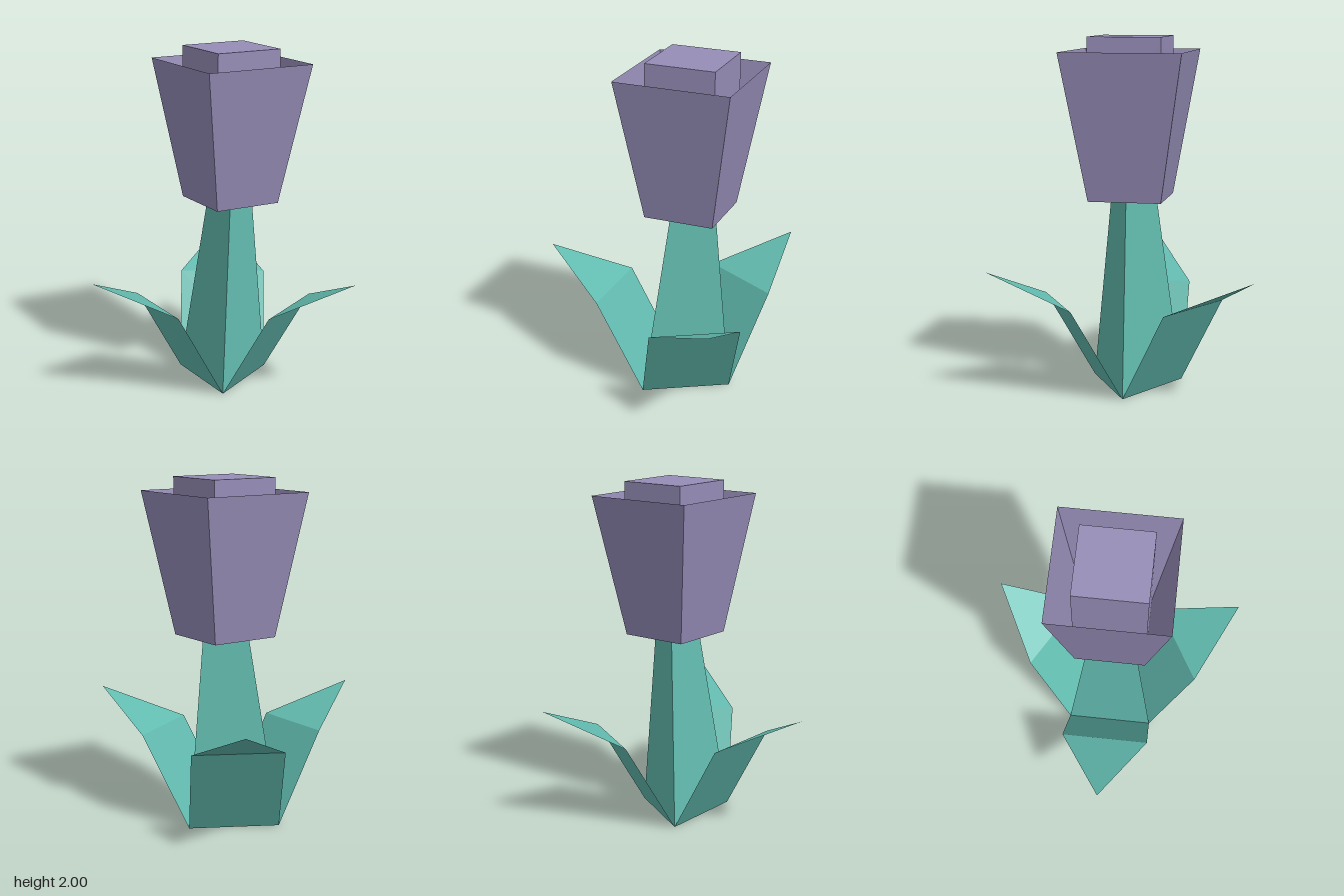
import * as THREE from 'three';

const green = new THREE.MeshStandardMaterial({ color: 0x62bbaf, flatShading: true, side: THREE.DoubleSide });
const purple = new THREE.MeshStandardMaterial({ color: 0x968db7, flatShading: true, side: THREE.DoubleSide });

const BASE_X = 0.2;    // centre of the stem on the ground
const BUD_X = 0.243;   // centre of the flower
const BUD_Y = 1.1;     // underside of the flower

function part(name, geometry, material) {
  const mesh = new THREE.Mesh(geometry, material);
  mesh.name = name;
  return mesh;
}

// Three-sided tapering stem, leaning slightly towards the flower
function createStem() {
  const geo = new THREE.CylinderGeometry(0.15, 0.3, BUD_Y, 3);
  geo.rotateY(Math.PI / 2).translate(0, BUD_Y / 2, 0);
  const pos = geo.attributes.position;
  for (let i = 0; i < pos.count; i++) {
    pos.setX(i, pos.getX(i) + (BUD_X - BASE_X) * pos.getY(i) / BUD_Y);
  }
  geo.computeVertexNormals();
  const stem = part('stem', geo, green);
  stem.position.x = BASE_X;
  return stem;
}

// Thin folded leaf growing out along +x: a rising panel and a pointed tip
function createLeafGeometry() {
  const w = 0.26;
  const geo = new THREE.BufferGeometry();
  geo.setAttribute('position', new THREE.Float32BufferAttribute([
    0.15, 0, w, 0.15, 0, -w,
    0.445, 0.52, w, 0.445, 0.52, -w,
    0.858, 0.72, 0,
  ], 3));
  geo.setIndex([0, 1, 3, 0, 3, 2, 2, 3, 4]);
  const flat = geo.toNonIndexed();
  flat.computeVertexNormals();
  return flat;
}

// Flower: an open flared square cup around a square core
function createFlower() {
  const flower = new THREE.Group();
  flower.name = 'flower';
  flower.position.set(BUD_X, BUD_Y, 0);

  const cupHeight = 0.82;
  const cupGeo = new THREE.CylinderGeometry(0.337 * Math.SQRT2, 0.204 * Math.SQRT2, cupHeight, 4, 1, true);
  cupGeo.rotateY(Math.PI / 4).translate(0, cupHeight / 2, 0);

  const coreHeight = 2 - BUD_Y;
  const coreGeo = new THREE.BoxGeometry(0.408, coreHeight, 0.408);
  coreGeo.translate(0, coreHeight / 2, 0);

  flower.add(part('petalCup', cupGeo, purple), part('flowerCore', coreGeo, purple));
  return flower;
}

export function createModel() {
  const model = new THREE.Group();
  model.name = 'flowerPlant';
  model.add(createStem(), createFlower());

  // One leaf on each side of the stem
  const leafGeo = createLeafGeometry();
  for (let i = 0; i < 3; i++) {
    const leaf = part('leaf' + (i + 1), leafGeo, green);
    leaf.position.x = BASE_X;
    leaf.rotation.y = Math.PI + i * Math.PI * 2 / 3;
    model.add(leaf);
  }
  return model;
}
